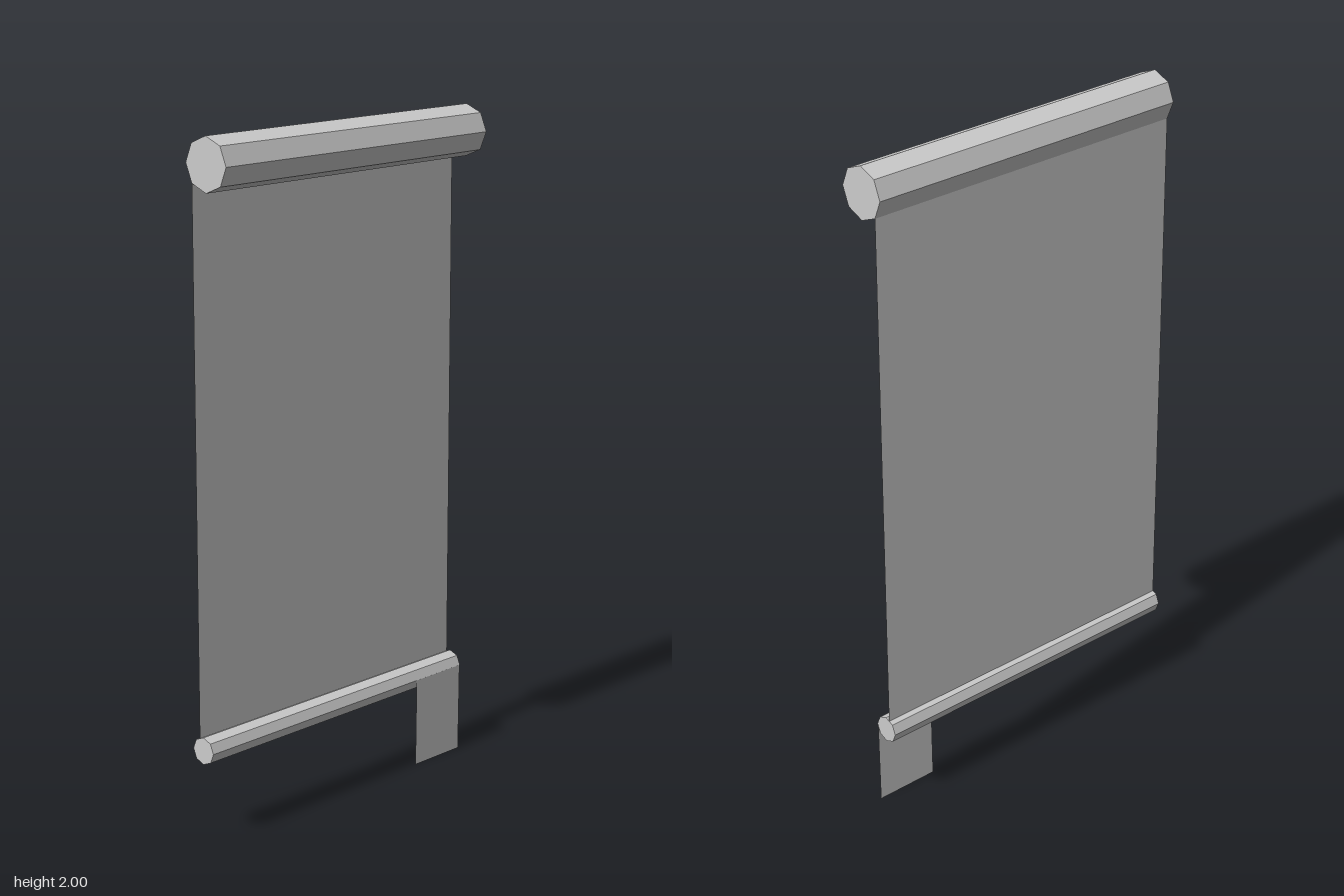
import * as THREE from 'three';

const HALF_WIDTH = 0.532;

export function createModel() {
  const group = new THREE.Group();
  group.name = 'hangingScroll';

  const grey = new THREE.MeshStandardMaterial({ color: 0xcccccc, flatShading: true, side: THREE.DoubleSide });
  grey.name = 'light grey';

  // Eight-sided rod lying along x
  function addRod(name, radius, y, z) {
    const geometry = new THREE.CylinderGeometry(radius, radius, HALF_WIDTH * 2, 8);
    geometry.rotateZ(Math.PI / 2);
    const rod = new THREE.Mesh(geometry, grey);
    rod.name = name;
    rod.position.set(0, y, z);
    group.add(rod);
  }

  // Upright flat sheet; lean shifts its lower edge sideways
  function addSheet(name, x0, x1, y0, y1, z, lean = 0) {
    const shape = new THREE.Shape([
      new THREE.Vector2(x0 + lean, y0),
      new THREE.Vector2(x1 + lean, y0),
      new THREE.Vector2(x1, y1),
      new THREE.Vector2(x0, y1),
    ]);
    const sheet = new THREE.Mesh(new THREE.ShapeGeometry(shape), grey);
    sheet.name = name;
    sheet.position.z = z;
    group.add(sheet);
  }

  addRod('topRoller', 0.0765, 1.9235, 0.002);
  addRod('bottomRod', 0.04, 0.27, -0.0385);

  // Cloth hangs from the back lower edge of the roller into the rod
  addSheet('cloth', -HALF_WIDTH, HALF_WIDTH, 0.27, 1.87, -0.052);

  // Small tab hanging from the front edge of the rod
  addSheet('pullTab', 0.33, 0.53, 0, 0.27, 0.0018, -0.003);

  return group;
}
